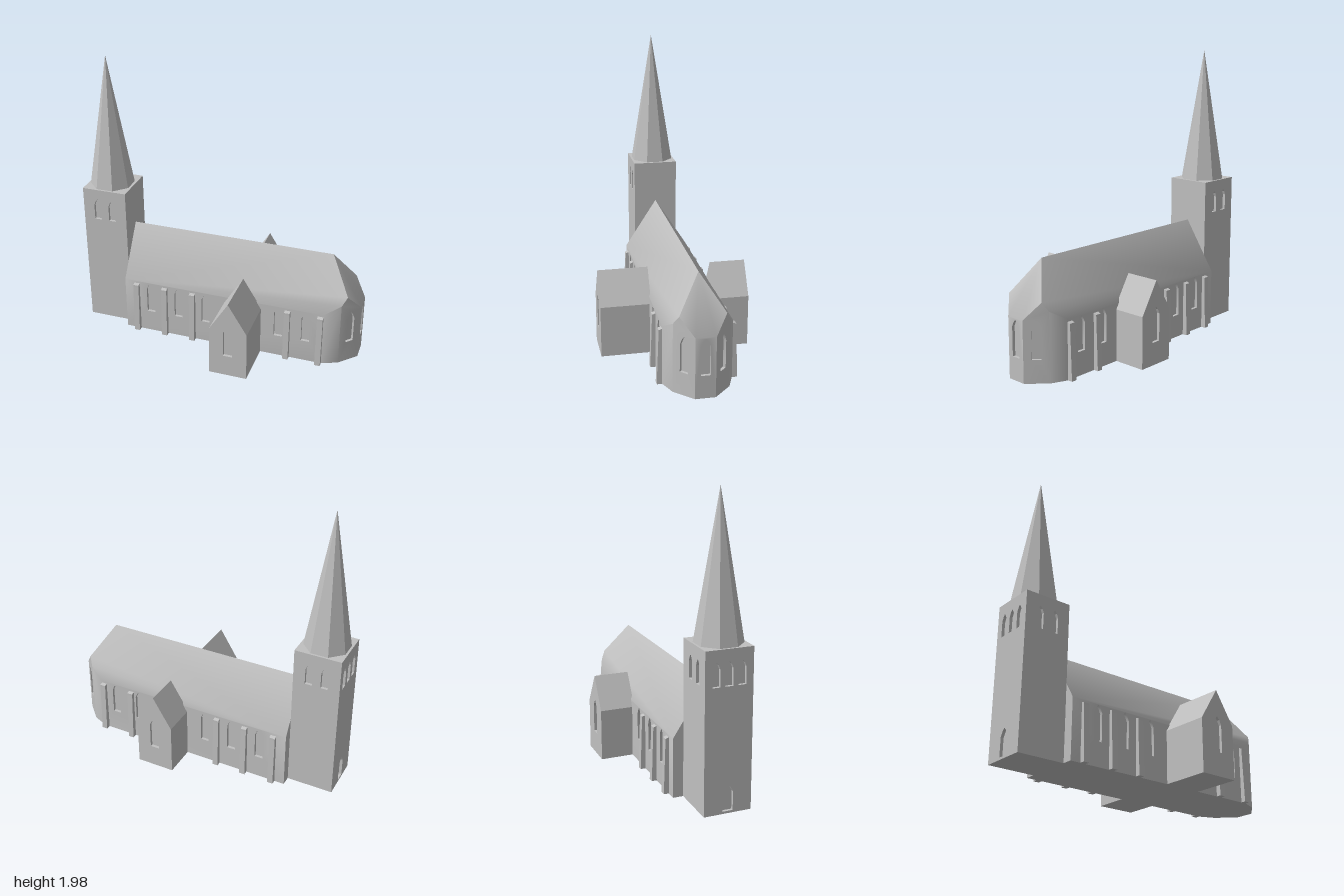
import * as THREE from 'three';
import { mergeGeometries, toCreasedNormals } from 'three/addons/utils/BufferGeometryUtils.js';

const V = (x, y, z) => new THREE.Vector3(x, y, z);
const AXIS_Z = -0.0525; // long axis of the church
const RECESS = 0.02;    // depth of windows and doors

// Flat convex polygon, corners counter-clockwise from outside
function poly(...pts) {
  const tris = [];
  for (let i = 1; i < pts.length - 1; i++) tris.push(pts[0], pts[i], pts[i + 1]);
  return new THREE.BufferGeometry().setFromPoints(tris);
}

// Pointed-arch outline: centre, sill, spring line, tip, width
function lancet(c, sill, spring, tip, w) {
  const h = w / 2, m = spring + (tip - spring) * 0.6;
  return [[c - h, sill], [c + h, sill], [c + h, spring], [c + h * 0.55, m], [c, tip], [c - h * 0.55, m], [c - h, spring]]
    .map(([x, y]) => new THREE.Vector2(x, y));
}

// Upright wall from plan point a to b with recessed openings; outline is in (distance, height)
function wall(a, b, outline, openings = []) {
  const u = b.clone().sub(a).setY(0).normalize(), up = V(0, 1, 0);
  const frame = new THREE.Matrix4().makeBasis(u, up, u.clone().cross(up)).setPosition(a.x, 0, a.z);
  const shape = new THREE.Shape(outline.map(([x, y]) => new THREE.Vector2(x, y)));
  shape.holes = openings.map((o) => new THREE.Path(o.slice().reverse()));
  const plain = (s) => {
    const g = new THREE.ShapeGeometry(s).toNonIndexed();
    g.deleteAttribute('uv');
    g.deleteAttribute('normal');
    return g;
  };
  const parts = [plain(shape)];
  for (const o of openings) {
    parts.push(plain(new THREE.Shape(o)).translate(0, 0, -RECESS));
    o.forEach((p, i) => {
      const q = o[(i + 1) % o.length];
      parts.push(poly(V(p.x, p.y, 0), V(q.x, q.y, 0), V(q.x, q.y, -RECESS), V(p.x, p.y, -RECESS)));
    });
  }
  return mergeGeometries(parts).applyMatrix4(frame);
}

const rect = (w, h) => [[0, 0], [w, 0], [w, h], [0, h]];

// Copy reflected across the long axis, with the winding restored
function mirrorZ(geo) {
  const g = geo.clone().scale(1, 1, -1), p = g.attributes.position;
  for (let i = 0; i < p.count; i += 3) {
    const b = V(0, 0, 0).fromBufferAttribute(p, i + 1), c = V(0, 0, 0).fromBufferAttribute(p, i + 2);
    p.setXYZ(i + 1, c.x, c.y, c.z);
    p.setXYZ(i + 2, b.x, b.y, b.z);
  }
  return g;
}

const flipZ = (v) => V(v.x, v.y, -v.z);
const floor = (v) => V(v.x, 0, v.z);

// Nave with hipped polygonal apse; shallow angles are smooth
function naveGeometry() {
  const h = 0.2275, eave = 0.4, x0 = -0.68, x1 = 0.775;
  const D = V(x0, eave, h), C = V(x1, eave, h), B = V(0.885, 0.465, 0.1825), A = V(1, 0.41, 0.066);
  const W = V(x0, 0.75, 0), R = V(x1, 0.75, 0);
  const t = 0.28, G = B.clone().lerp(A, t).setY(0.522);
  const L = Math.hypot(A.x - B.x, A.z - B.z);
  const windows = [-0.485, -0.275, -0.07, 0.46, 0.655].map((x) => lancet(x - x0, 0.16, 0.345, 0.396, 0.06));
  const side = mergeGeometries([
    poly(D, C, B, G, R, W),
    wall(D, C, rect(x1 - x0, eave), windows),
    poly(floor(C), floor(B), B, C),
    wall(B, A, [[0, 0], [L, 0], [L, A.y], [L * t, G.y], [0, B.y]], [lancet(L * 0.5, 0.155, 0.34, 0.4, 0.06)]),
  ]);
  const plan = [D, C, B, A].map(floor);
  const geo = mergeGeometries([
    side, mirrorZ(side),
    wall(A, flipZ(A), rect(2 * A.z, A.y), [lancet(A.z, 0.155, 0.35, 0.4, 0.062)]),
    poly(R, G, A, flipZ(A), flipZ(G)),
    poly(floor(flipZ(D)), floor(D), D, W, flipZ(D)),
    poly(...plan.slice().reverse(), ...plan.map(flipZ)),
  ]);
  return toCreasedNormals(geo, THREE.MathUtils.degToRad(42));
}

// Gabled transept arm reaching from zIn to zOut
function transeptGeometry(zIn, zOut) {
  const x0 = 0.07, x1 = 0.335, w = x1 - x0, eave = 0.355, top = 0.57, xm = (x0 + x1) / 2;
  const gable = [[0, 0], [w, 0], [w, eave], [w / 2, top], [0, eave]];
  const p = (x, y, z) => V(x, y, z);
  return mergeGeometries([
    wall(p(x0, 0, zOut), p(x1, 0, zOut), gable, [lancet(w / 2, 0.155, 0.34, 0.392, 0.066)]),
    wall(p(x1, 0, zIn), p(x0, 0, zIn), gable),
    wall(p(x1, 0, zOut), p(x1, 0, zIn), rect(zOut - zIn, eave)),
    wall(p(x0, 0, zIn), p(x0, 0, zOut), rect(zOut - zIn, eave)),
    poly(p(x1, eave, zOut), p(x1, eave, zIn), p(xm, top, zIn), p(xm, top, zOut)),
    poly(p(x0, eave, zIn), p(x0, eave, zOut), p(xm, top, zOut), p(xm, top, zIn)),
    poly(p(x0, 0, zIn), p(x1, 0, zIn), p(x1, 0, zOut), p(x0, 0, zOut)),
  ]);
}

// Square tower with belfry openings and a west door
function towerGeometry() {
  const x0 = -1, x1 = -0.68, h = 0.158, H = 1.045;
  const belfry = (c) => lancet(c, 0.815, 0.925, 0.97, 0.05);
  const a = V(x0, 0, h), b = V(x1, 0, h), c = V(x1, 0, -h), d = V(x0, 0, -h);
  const up = (v) => V(v.x, H, v.z);
  return mergeGeometries([
    wall(a, b, rect(x1 - x0, H), [0.105, 0.213].map(belfry)),
    wall(b, c, rect(2 * h, H)),
    wall(c, d, rect(x1 - x0, H), [0.107, 0.215].map(belfry)),
    wall(d, a, rect(2 * h, H), [...[h - 0.085, h, h + 0.085].map(belfry), lancet(h, 0.015, 0.14, 0.19, 0.07)]),
    poly(up(a), up(b), up(c), up(d)),
    poly(d, c, b, a),
  ]);
}

// Tapered buttress with a sloped cap, against the +z wall
function buttressGeometry(x) {
  const s = new THREE.Shape([[0.22, 0], [0.262, 0], [0.25, 0.36], [0.25, 0.375], [0.22, 0.385]]
    .map(([z, y]) => new THREE.Vector2(-z, y)));
  const g = new THREE.ExtrudeGeometry(s, { depth: 0.04, bevelEnabled: false });
  g.rotateY(Math.PI / 2).translate(x - 0.02, 0, 0);
  g.deleteAttribute('uv');
  g.deleteAttribute('normal');
  return g.index ? g.toNonIndexed() : g;
}

export function createModel() {
  const model = new THREE.Group();
  model.name = 'church';
  const stone = new THREE.MeshStandardMaterial({ color: 0xc0c0c0 });
  stone.name = 'grey stone';
  const add = (name, geo) => {
    if (!geo.attributes.normal) geo.computeVertexNormals();
    const mesh = new THREE.Mesh(geo, stone);
    mesh.name = name;
    mesh.position.z = AXIS_Z;
    model.add(mesh);
    return mesh;
  };

  add('nave', naveGeometry());
  add('tower', towerGeometry());
  add('frontTransept', transeptGeometry(0.2175, 0.5575));
  add('backTransept', mirrorZ(transeptGeometry(0.2125, 0.4545)));

  // Eight-sided spire with flats facing the tower sides
  const spire = new THREE.ConeGeometry(0.155, 0.935, 8).rotateY(Math.PI / 8).toNonIndexed();
  spire.computeVertexNormals();
  add('spire', spire.translate(-0.842, 1.045 + 0.935 / 2, 0));

  // Buttresses along both sides; rotating the extrusion half a turn brings it to +z
  for (const x of [-0.59, -0.377, -0.167, 0.525, 0.755]) {
    const g = buttressGeometry(x);
    add('frontButtress', g);
    const back = mirrorZ(g);
    back.deleteAttribute('normal');
    add('backButtress', back);
  }
  return model;
}
